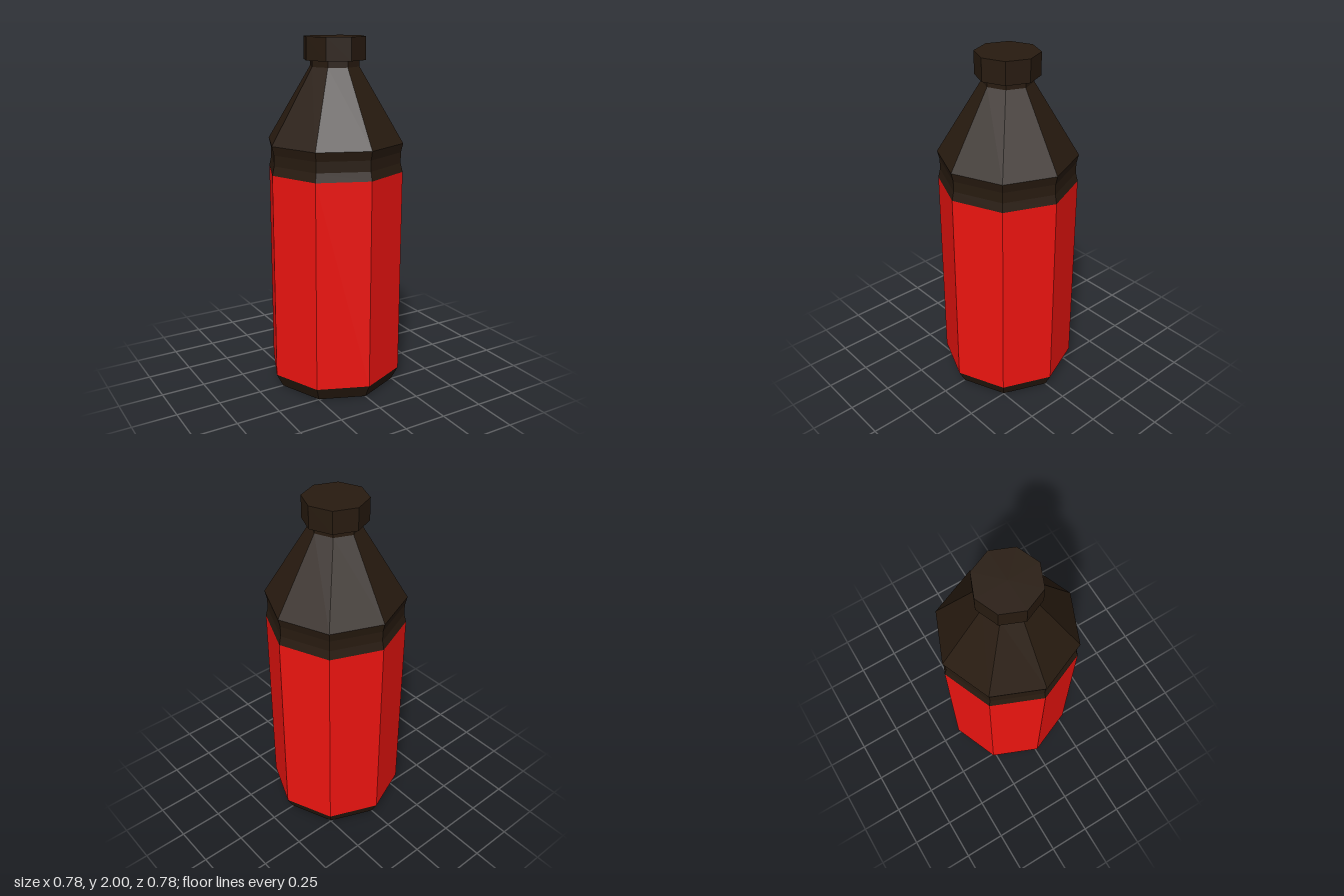
import * as THREE from 'three';

const SIDES = 8;

export function createModel() {
  const group = new THREE.Group();
  group.name = 'bottle';

  const dark = new THREE.MeshStandardMaterial({ color: 0x281b10, flatShading: true });
  const red = new THREE.MeshStandardMaterial({ color: 0xee1410, flatShading: true });

  // Turn a [radius, height] profile, listed bottom to top, into an eight-sided part
  const turned = (name, profile, material) => {
    const points = profile.map(([r, y]) => new THREE.Vector2(r, y));
    const mesh = new THREE.Mesh(new THREE.LatheGeometry(points, SIDES), material);
    mesh.name = name;
    group.add(mesh);
  };

  // Closed bottom with a chamfered edge
  turned('base', [[0, 0], [0.35, 0], [0.39, 0.08]], dark);

  // Wrap-around label
  turned('label', [[0.39, 0.08], [0.39, 1.27]], red);

  // Grip groove, sloping shoulder and short neck
  turned('shoulder', [
    [0.39, 1.27], [0.378, 1.32], [0.378, 1.38], [0.39, 1.43],
    [0.14, 1.84], [0.14, 1.875],
  ], dark);

  // Overhanging screw cap
  turned('cap', [[0, 1.875], [0.175, 1.875], [0.175, 2], [0, 2]], dark);

  return group;
}
